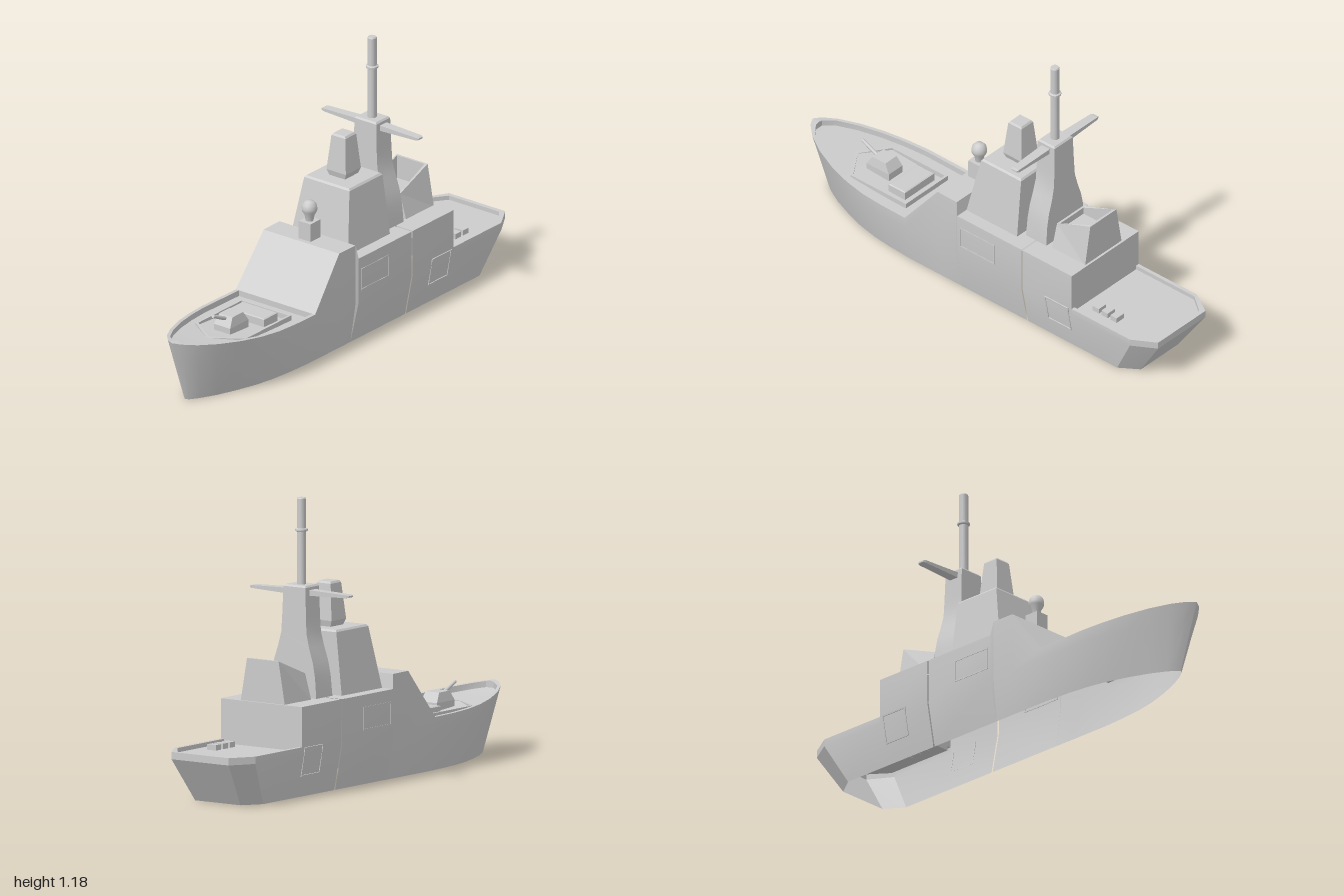
import * as THREE from 'three';
import { toCreasedNormals } from 'three/addons/utils/BufferGeometryUtils.js';

const grey = new THREE.MeshStandardMaterial({ color: 0xcccccc });
const shellGrey = new THREE.MeshStandardMaterial({ color: 0xcccccc, side: THREE.DoubleSide });

function addMesh(parent, name, geometry, material = grey) {
  const mesh = new THREE.Mesh(geometry, material);
  mesh.name = name;
  parent.add(mesh);
  return mesh;
}

// Skin a list of cross-sections (arrays of [x, y, z]) with the same point count.
function loft(rings, closed, crease) {
  const n = rings[0].length;
  const index = [];
  for (let i = 0; i < rings.length - 1; i++) {
    for (let j = 0; j < (closed ? n : n - 1); j++) {
      const k = (j + 1) % n;
      const a = i * n + j, b = i * n + k, c = a + n, d = b + n;
      index.push(a, b, c, b, d, c);
    }
  }
  const geometry = new THREE.BufferGeometry();
  geometry.setAttribute('position', new THREE.Float32BufferAttribute(rings.flat(2), 3));
  geometry.setIndex(index);
  return toCreasedNormals(geometry, crease);
}

// Capped stack of rectangles: [y, x0, x1, half width, extra height at x1].
function stack(levels, crease = 0.1) {
  const rings = levels.map(([y, x0, x1, z, rise = 0]) =>
    [[x0, y, z], [x1, y + rise, z], [x1, y + rise, -z], [x0, y, -z]]);
  const cap = ([y, x0, x1, , rise = 0]) => Array(4).fill([(x0 + x1) / 2, y + rise / 2, 0]);
  return loft([cap(levels[0]), ...rings, cap(levels.at(-1))], true, crease);
}

// Hull station: [top x, half width, top y, keel x, keel half width, deck drop].
function station([xt, zt, yt, xb, zb, drop]) {
  const s = THREE.MathUtils.clamp((-0.32 - xt) / 0.5, 0, 1);
  const t = THREE.MathUtils.lerp(1, 0.18 / yt, s);
  const xi = THREE.MathUtils.clamp(xt, -0.965, 0.98);
  const zi = Math.max(0, zt - 0.016);
  const half = [
    [xb, 0, zb],
    [xb + (xt - xb) * t, 0.18, zb + (zt - zb) * t],
    [xt, yt, zt],
    [drop ? xi : xt, yt, zi],
    [drop ? xi : xt, yt - drop, zi],
  ];
  const mirrored = half.map(([x, y, z]) => [x, y, -z]);
  return [...mirrored, [drop ? xi : xt, yt - drop, 0], ...half.reverse()];
}

// Rectangular outline made as a plate with a hole.
function outline(points, inner, depth) {
  const shape = new THREE.Shape(points.map(p => new THREE.Vector2(...p)));
  shape.holes.push(new THREE.Path(inner.map(p => new THREE.Vector2(...p))));
  return new THREE.ExtrudeGeometry(shape, { depth, bevelEnabled: false });
}
const corners = (w, h) => [[-w, -h], [w, -h], [w, h], [-w, h]];

export function createModel() {
  const ship = new THREE.Group();
  ship.name = 'ship';

  // Hull shell with bulwarks, decks and deckhouse, in two halves with a narrow joint
  const foreStations = [
    [-1, 0, 0.28, -0.91, 0, 0.025],
    [-0.98, 0.035, 0.276, -0.9, 0.014, 0.025],
    [-0.93, 0.08, 0.268, -0.865, 0.038, 0.025],
    [-0.85, 0.125, 0.258, -0.8, 0.072, 0.025],
    [-0.75, 0.163, 0.247, -0.71, 0.107, 0.025],
    [-0.65, 0.188, 0.238, -0.62, 0.135, 0.025],
    [-0.55, 0.202, 0.232, -0.53, 0.153, 0.025],
    [-0.45, 0.205, 0.228, -0.44, 0.163, 0.025],
    [-0.32, 0.205, 0.226, -0.32, 0.17, 0.025],
    [-0.32, 0.205, 0.226, -0.32, 0.17, 0],
    [-0.15, 0.195, 0.435, -0.15, 0.17, 0],
    [-0.045, 0.197, 0.435, -0.045, 0.17, 0],
    [-0.035, 0.205, 0.375, -0.035, 0.17, 0],
    [0.312, 0.205, 0.375, 0.312, 0.17, 0],
  ];
  const aftStations = [
    [0.319, 0.205, 0.375, 0.319, 0.17, 0],
    [0.585, 0.205, 0.375, 0.585, 0.17, 0],
    [0.585, 0.205, 0.21, 0.585, 0.17, 0.018],
    [0.9, 0.205, 0.21, 0.8, 0.17, 0.018],
    [1, 0.145, 0.21, 0.88, 0.115, 0.018],
    [1, 0, 0.21, 0.88, 0, 0.018],
  ];
  addMesh(ship, 'foreHull', loft(foreStations.map(station), false, 0.45), shellGrey);
  addMesh(ship, 'aftHull', loft(aftStations.map(station), false, 0.3), shellGrey);

  // Side door and port outlines
  for (const side of [1, -1]) {
    const place = (name, x, y, z, w, h, tilt) => {
      const frame = addMesh(ship, name,
        outline(corners(w, h), corners(w - 0.006, h - 0.006), 0.004));
      frame.position.set(x, y, side * z);
      frame.rotation.order = 'YXZ';
      frame.rotation.set(tilt, side > 0 ? 0 : Math.PI, 0);
    };
    place('sidePort', 0.0725, 0.277, 0.203, 0.093, 0.048, 0);
    place('sideDoor', 0.505, 0.147, 0.197, 0.064, 0.062, 0.17);
  }

  // Foredeck coaming, hatch and gun
  const coaming = addMesh(ship, 'foredeckCoaming', outline(
    [[-0.77, 0], [-0.68, -0.13], [-0.38, -0.13], [-0.38, 0.13], [-0.68, 0.13]],
    [[-0.755, 0], [-0.673, -0.12], [-0.39, -0.12], [-0.39, 0.12], [-0.673, 0.12]], 0.024));
  coaming.rotation.x = -Math.PI / 2;
  coaming.position.y = 0.2;
  addMesh(ship, 'foredeckHatch', stack([
    [0.195, -0.51, -0.42, 0.09], [0.237, -0.51, -0.42, 0.09], [0.24, -0.505, -0.425, 0.085]]));
  addMesh(ship, 'gunTurret', stack([
    [0.2, -0.67, -0.55, 0.042], [0.24, -0.67, -0.55, 0.042],
    [0.28, -0.645, -0.575, 0.034]]));
  const barrel = addMesh(ship, 'gunBarrel', new THREE.CylinderGeometry(0.007, 0.009, 0.12, 12));
  barrel.position.set(-0.675, 0.28, 0);
  barrel.rotation.z = 1.14;

  // Domed sensor on the bridge roof
  addMesh(ship, 'domePedestal', stack([
    [0.43, -0.13, -0.065, 0.032], [0.512, -0.13, -0.065, 0.03]]));
  const dome = addMesh(ship, 'sensorDome', new THREE.LatheGeometry([
    [0.016, 0.51], [0.02, 0.535], [0.031, 0.555], [0.032, 0.567], [0.029, 0.583],
    [0.018, 0.596], [0, 0.6]].map(p => new THREE.Vector2(...p)), 20));
  dome.position.x = -0.097;

  // Upper house and the sensor head on it
  addMesh(ship, 'upperHouse', stack([
    [0.37, -0.035, 0.24, 0.15], [0.632, 0.016, 0.233, 0.117], [0.64, 0.023, 0.226, 0.11]]));
  addMesh(ship, 'sensorHead', stack([
    [0.635, 0.085, 0.168, 0.038], [0.665, 0.077, 0.176, 0.05],
    [0.815, 0.092, 0.163, 0.036], [0.823, 0.098, 0.157, 0.03]]));

  // Mast tower with flared foot
  addMesh(ship, 'mastTower', stack([
    [0.37, 0.26, 0.37, 0.118], [0.46, 0.262, 0.368, 0.11], [0.52, 0.263, 0.367, 0.098],
    [0.58, 0.264, 0.366, 0.078], [0.635, 0.266, 0.364, 0.064], [0.7, 0.267, 0.363, 0.06],
    [0.823, 0.269, 0.36, 0.056], [0.83, 0.275, 0.354, 0.05]], 0.35));

  // Pole mast with collar
  const pole = addMesh(ship, 'poleMast', new THREE.LatheGeometry([
    [0.019, 0.825], [0.019, 1.045], [0.026, 1.049], [0.026, 1.056], [0.019, 1.06],
    [0.019, 1.18], [0.016, 1.185], [0, 1.185]].map(p => new THREE.Vector2(...p)), 16));
  pole.geometry = toCreasedNormals(pole.geometry, 0.5);
  pole.position.x = 0.313;

  // Tapered yardarms
  for (const side of [1, -1]) {
    const yard = addMesh(ship, 'yardarm', stack([
      [0.04, -0.022, 0.022, 0.012], [0.24, -0.018, 0.018, 0.006],
      [0.25, -0.014, 0.014, 0.003]]));
    yard.rotation.x = side * Math.PI / 2;
    yard.position.set(0.313, 0.8, 0);
  }

  // Open-topped launcher housing behind the tower
  addMesh(ship, 'launcherHousing', stack([
    [0.37, 0.395, 0.575, 0.112], [0.48, 0.395, 0.575, 0.08, 0.07],
    [0.48, 0.405, 0.565, 0.071, 0.07], [0.45, 0.405, 0.565, 0.071]]));

  // Lockers on the aft deck
  for (const x of [0.655, 0.703, 0.751]) {
    addMesh(ship, 'deckLocker', new THREE.BoxGeometry(0.034, 0.025, 0.045))
      .position.set(x, 0.202, 0.115);
  }
  return ship;
}
